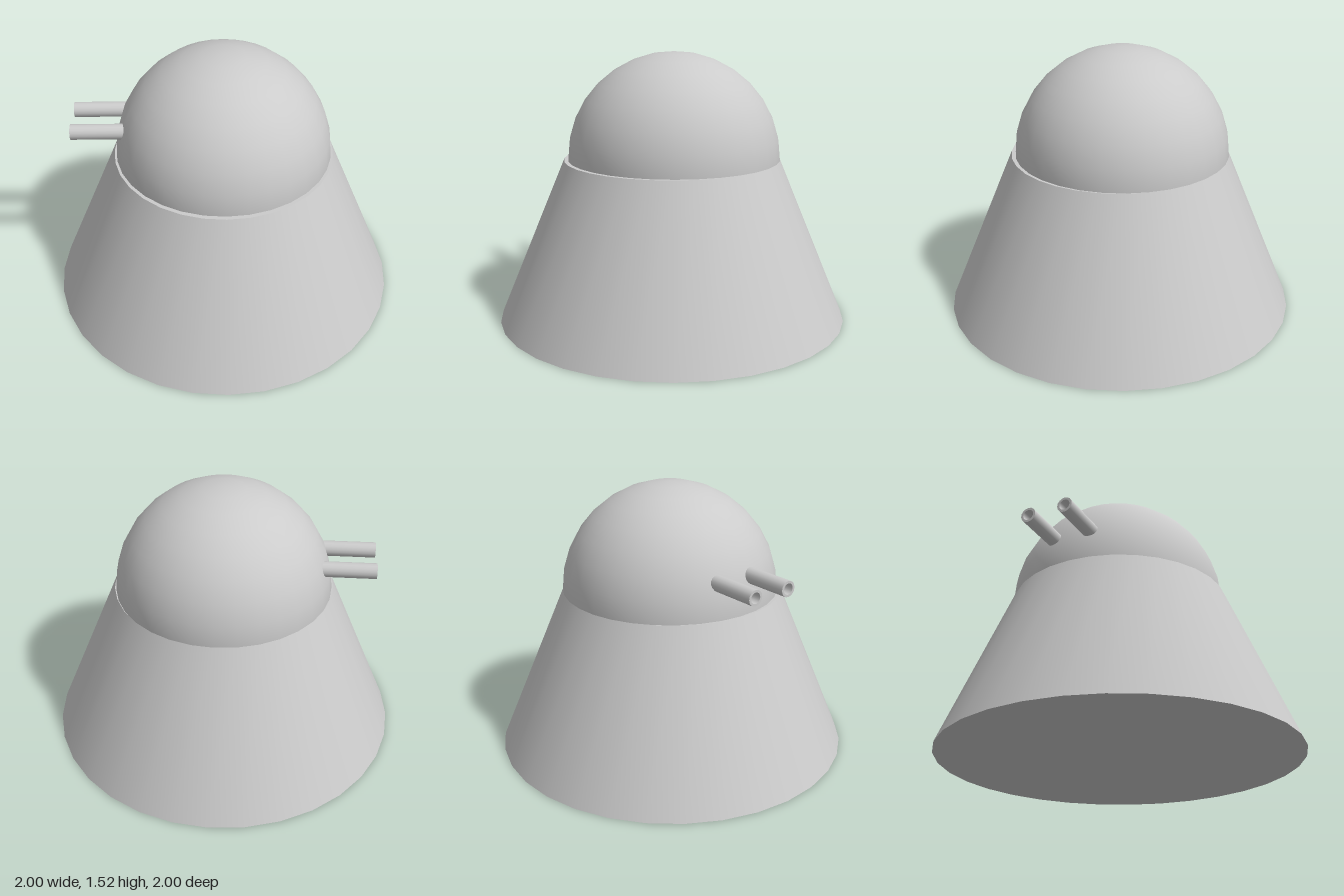
import * as THREE from 'three';

export function createModel() {
  const model = new THREE.Group();
  const grey = new THREE.MeshStandardMaterial({ color: 0xcccccc });
  const greyDouble = new THREE.MeshStandardMaterial({ color: 0xcccccc, side: THREE.DoubleSide });

  function add(name, geometry, material, x, y, z) {
    const mesh = new THREE.Mesh(geometry, material);
    mesh.name = name;
    mesh.position.set(x, y, z);
    model.add(mesh);
    return mesh;
  }

  // Tapered base, closed at both ends
  const baseHeight = 0.92;
  add('base', new THREE.CylinderGeometry(0.615, 1, baseHeight, 32), grey, 0, baseHeight / 2, 0);

  // Half-sphere turret, set slightly off the centre of the base
  const dome = new THREE.SphereGeometry(0.605, 32, 8, 0, Math.PI * 2, 0, Math.PI / 2);
  add('dome', dome, greyDouble, 0.01, baseHeight, -0.01);

  // Two parallel hollow barrels pointing to the back right
  const length = 0.36;
  const profile = [[0.043, 0], [0.043, length], [0.043, length], [0.03, length],
    [0.03, length], [0.03, length - 0.12], [0.03, length - 0.12], [0, length - 0.12]]
    .map(([r, y]) => new THREE.Vector2(r, y));
  const barrel = new THREE.LatheGeometry(profile, 16);
  const aim = new THREE.Vector3(-1, 0.01, -1).normalize();
  const tips = { rightBarrel: [-0.655, -0.525], leftBarrel: [-0.5, -0.678] };
  for (const [name, [x, z]] of Object.entries(tips)) {
    const mesh = add(name, barrel, greyDouble, x, 1.113, z);
    mesh.quaternion.setFromUnitVectors(new THREE.Vector3(0, 1, 0), aim);
    mesh.position.addScaledVector(aim, -length);
  }

  return model;
}
